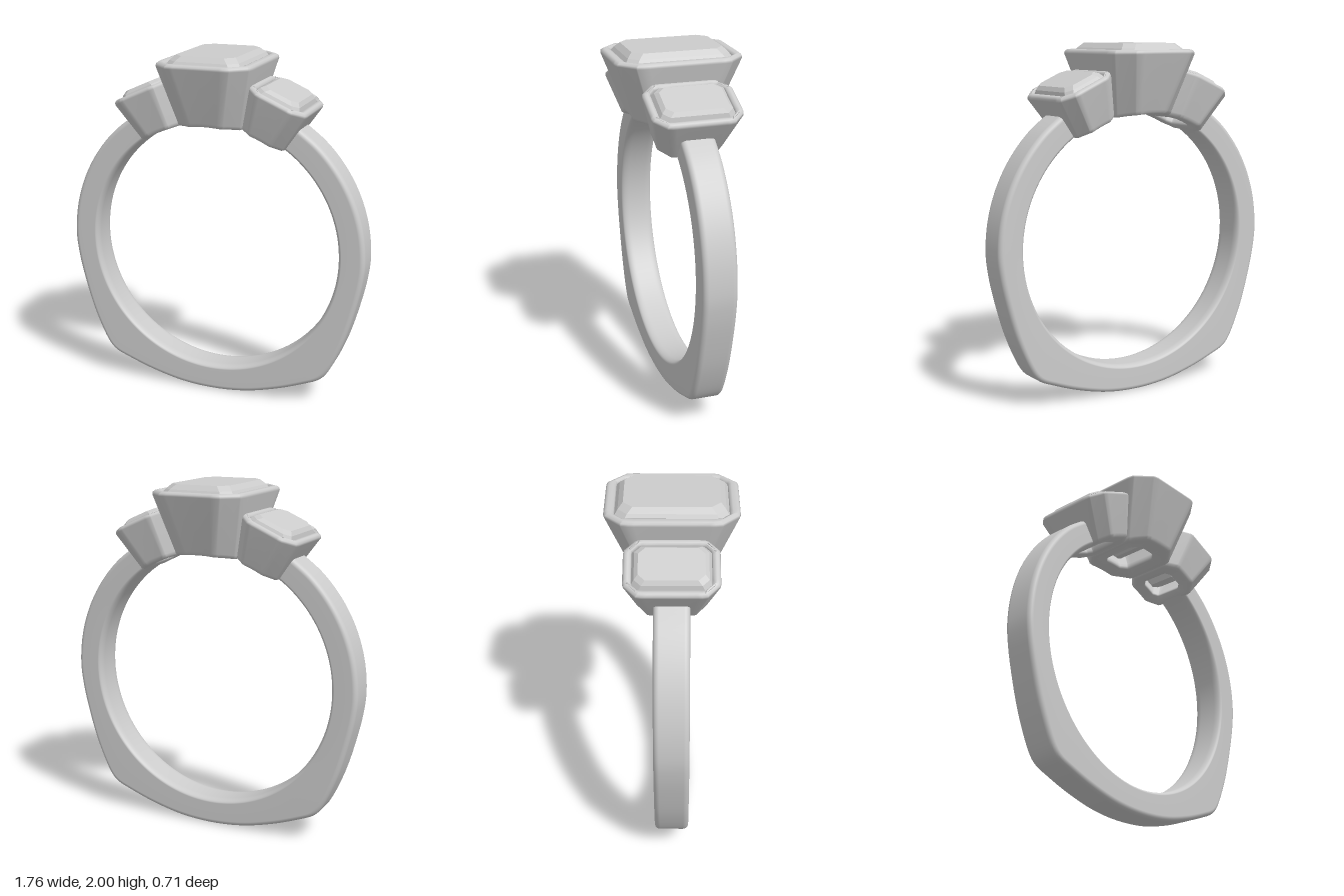
import * as THREE from 'three';

const CENTER_Y = 0.885; // centre of the finger hole
const BORE = 0.73;      // finger hole radius

// Skin a list of equal-length point rings; optionally join the last ring to the first
function loft(rings, closed = false) {
  const n = rings[0].length, index = [];
  const last = closed ? rings.length : rings.length - 1;
  for (let r = 0; r < last; r++) {
    const s = (r + 1) % rings.length;
    for (let i = 0; i < n; i++) {
      const j = (i + 1) % n;
      const a = r * n + i, b = r * n + j, c = s * n + i, d = s * n + j;
      index.push(a, c, b, b, c, d);
    }
  }
  const geo = new THREE.BufferGeometry();
  geo.setAttribute('position', new THREE.Float32BufferAttribute(rings.flat(2), 3));
  geo.setIndex(index);
  geo.computeVertexNormals();
  return geo;
}

function part(name, geo, flatShading = false) {
  const mesh = new THREE.Mesh(geo, new THREE.MeshStandardMaterial({ color: 0xcccccc, flatShading }));
  mesh.name = name;
  return mesh;
}

// Rectangle with cut corners in x/z; half sizes hx, hz and corner cut c
function octagon(hx, hz, c) {
  const quarter = [[hx, hz - c], [hx - c, hz]];
  const flip = quarter.slice().reverse();
  return [
    ...flip.map(([x, z]) => [x, -z]), ...quarter,
    ...flip.map(([x, z]) => [-x, z]), ...quarter.map(([x, z]) => [-x, -z]),
  ];
}

// Split each octagon edge, leaving the corners slightly softened
function softOctagon(hx, hz, c) {
  const o = octagon(hx, hz, c);
  return o.flatMap(([x, z], i) => {
    const [u, v] = o[(i + 1) % 8];
    return [0.06, 0.12, 0.3, 0.5, 0.7, 0.88, 0.94].map(f => [x + (u - x) * f, z + (v - z) * f]);
  });
}

// Band: round bore, outer edge with two squared shoulders near the bottom
function band() {
  const half = [[0, 0], [0.2, 0.015], [0.4, 0.063], [0.56, 0.12], [0.63, 0.15], [0.665, 0.178],
    [0.70, 0.23], [0.775, 0.4], [0.835, 0.6], [0.87, 0.76]];
  for (let a = 0; a <= 57.5; a += 11.5) {
    const t = THREE.MathUtils.degToRad(a);
    half.push([0.882 * Math.cos(t), CENTER_Y + 0.882 * Math.sin(t)]);
  }
  const outline = [...half.slice(1).reverse().map(([x, y]) => [-x, y]), ...half];
  const curve = new THREE.CatmullRomCurve3(outline.map(([x, y]) => new THREE.Vector3(x, y, 0)));
  const rings = curve.getSpacedPoints(200).map(p => {
    const dx = p.x, dy = p.y - CENTER_Y, R = Math.hypot(dx, dy);
    const ring = [];
    // four rounded corners: outer front, inner front, inner back, outer back
    for (let q = 0; q < 4; q++) {
      const outer = q === 0 || q === 3, front = q < 2 ? 1 : -1;
      const er = outer ? 0.028 : 0.022, ez = outer ? 0.03 : 0.045;
      for (let k = 0; k <= 6; k++) {
        const t = (q + k / 6) * Math.PI / 2;
        const r = (outer ? R - er : BORE + er) + er * Math.cos(t);
        ring.push([dx / R * r, CENTER_Y + dy / R * r, front * (0.095 - ez) + ez * Math.sin(t)]);
      }
    }
    return ring;
  });
  return part('band', loft(rings));
}

// Setting with its stone, built around the bore centre; s gives half sizes
function settingWithStone(name, s) {
  const group = new THREE.Group();
  group.name = name;
  const { w, d, bw, bd, top, cut, lip } = s;
  const h = top - BORE, e = 0.012;

  // t = 0 follows the bore, t = 1 is the flat rim
  const ring = (hx, hz, c, t) => softOctagon(hx, hz, c).map(([x, z]) =>
    [x, THREE.MathUtils.lerp(Math.sqrt(BORE * BORE - x * x), top, t), z]);
  const iw = w - lip, id = d - lip, ic = cut * 0.5;
  const wall = [
    ring(bw * 0.5, bd * 0.55, bw * 0.2, 0),
    ring(bw - 2 * e, bd - 2 * e, cut * 0.85, 0),
    ring(bw - e, bd - e, cut * 0.88, 0.2 * e / h),
    ring(bw - 0.2 * e, bd - 0.2 * e, cut * 0.9, e / h),
    ring(bw, bd, cut * 0.9, 2 * e / h),
    ring(w, d, cut, 1 - 1.8 * e / h),
    ring(w - 0.2 * e, d - 0.2 * e, cut, 1 - 0.8 * e / h),
    ring(w - e, d - e, cut, 1 - 0.1 * e / h),
    ring(w - 1.8 * e, d - 1.8 * e, cut * 0.95, 1),
    ring(iw + 1.5 * e, id + 1.5 * e, ic * 1.2, 1),
    ring(iw + 0.4 * e, id + 0.4 * e, ic, 1 - 0.4 * e / h),
    ring(iw, id, ic, 1 - 1.5 * e / h),
    ring(iw, id, ic, 1 - 0.05 / h),
    ring(bw * 0.52, bd * 0.57, bw * 0.2, 0.12),
    ring(bw * 0.5, bd * 0.55, bw * 0.2, 0.06),
  ];
  group.add(part('bezel', loft(wall, true)));

  // Step-cut stone from keel to table: [inset, height]
  const steps = [
    [iw * 0.92, top - h * 0.9], [iw * 0.55, top - h * 0.66], [iw * 0.22, top - h * 0.36],
    [-0.006, top - 0.045], [-0.006, top - 0.028], [s.crown * 0.4, top + 0.008], [s.crown, top + s.rise],
  ].map(([inset, y]) => {
    const hx = iw - inset;
    return octagon(hx, id - inset, Math.min(ic, hx * 0.5)).map(([x, z]) => [x, y, z]);
  });
  const point = y => steps[0].map(() => [0, y, 0]);
  const gem = loft([point(steps[0][0][1]), ...steps, point(top + s.rise)]).toNonIndexed();
  gem.computeVertexNormals();
  group.add(part('stone', gem, true));

  group.position.y = CENTER_Y;
  return group;
}

export function createModel() {
  const model = new THREE.Group();
  model.name = 'threeStoneRing';
  model.add(band());

  model.add(settingWithStone('centerSetting', {
    w: 0.273, d: 0.355, bw: 0.19, bd: 0.24, top: 1.08, cut: 0.1, lip: 0.057, crown: 0.045, rise: 0.035,
  }));
  for (const side of [1, -1]) {
    const setting = settingWithStone(side > 0 ? 'leftSetting' : 'rightSetting', {
      w: 0.178, d: 0.25, bw: 0.137, bd: 0.19, top: 0.985, cut: 0.072, lip: 0.045, crown: 0.034, rise: 0.026,
    });
    setting.rotation.z = -side * THREE.MathUtils.degToRad(24);
    model.add(setting);
  }
  return model;
}
